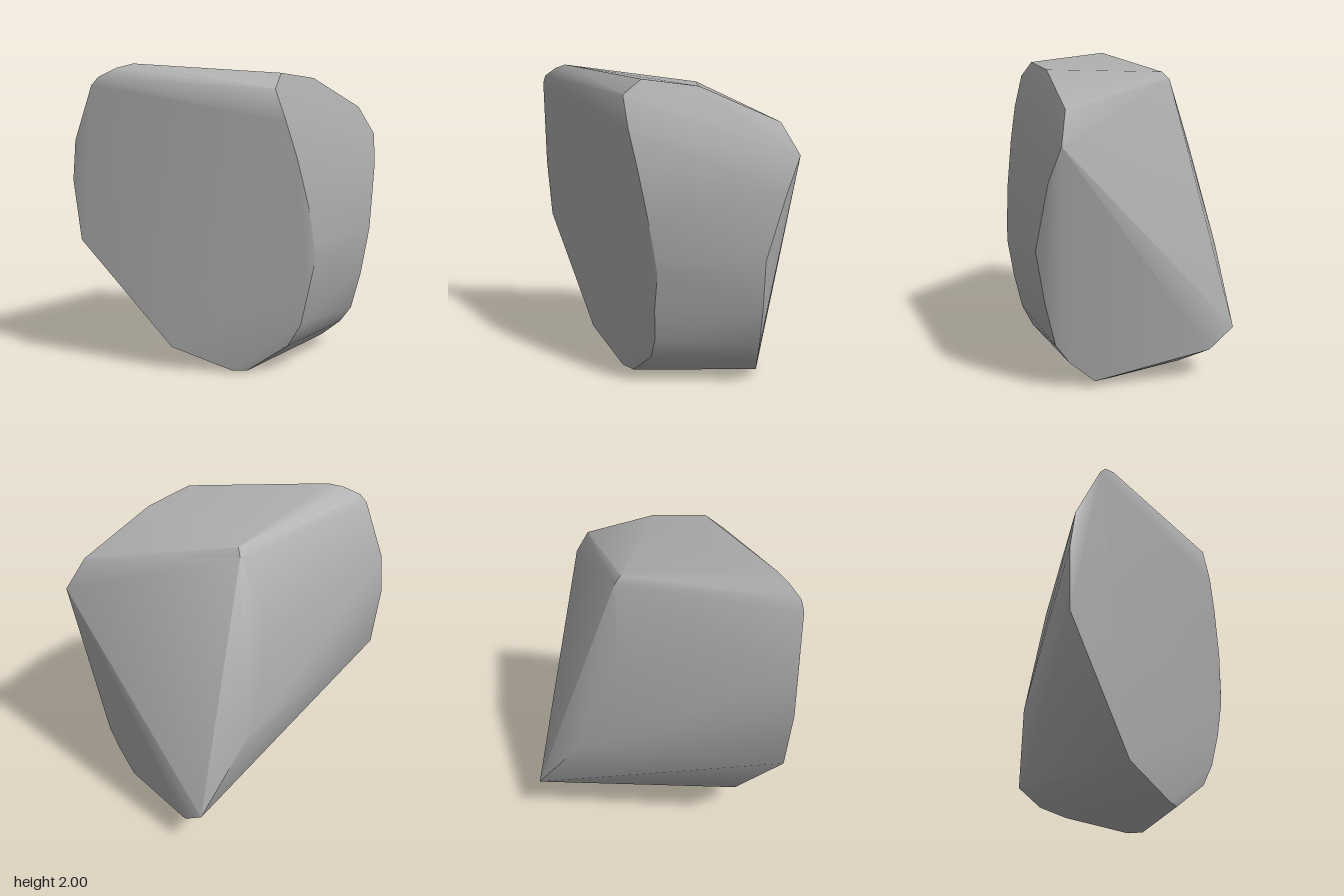
import * as THREE from 'three';
import { ConvexGeometry } from 'three/addons/geometries/ConvexGeometry.js';
import { toCreasedNormals } from 'three/addons/utils/BufferGeometryUtils.js';

const hull = (...rings) => new ConvexGeometry(rings.flat().map((p) => new THREE.Vector3(...p)));

export function createModel() {
  const group = new THREE.Group();
  group.name = 'rock';
  const stone = new THREE.MeshStandardMaterial({ color: 0xaaaaaa });
  stone.name = 'grey stone';

  // Slanted cap and its bevelled rim
  const top = [
    [-0.65, 2.0, -0.32], [-0.72, 1.975, -0.39], [-0.8, 1.92, -0.47], [-0.82, 1.87, -0.51],
    [0.24, 1.885, -0.32], [0.27, 1.84, -0.36],
    [-0.15, 1.945, 0.42], [-0.26, 1.855, 0.45], [0.19, 1.905, 0.45], [0.67, 1.7, 0.53],
  ];
  // Rounded front, left edge then right edge
  const frontLeft = [
    [-0.23, 1.66, 0.51], [-0.18, 1.44, 0.56], [-0.12, 1.14, 0.61], [-0.07, 0.89, 0.635],
    [-0.065, 0.8, 0.635], [-0.08, 0.56, 0.59], [-0.075, 0.35, 0.54], [-0.1, 0.2, 0.46],
  ];
  const frontRight = [
    [0.78, 1.51, 0.6], [0.7, 1.3, 0.65], [0.58, 0.89, 0.685],
    [0.58, 0.56, 0.63], [0.575, 0.3, 0.565], [0.58, 0.18, 0.48],
  ];
  // Bulging back, with the pointed lower right corner
  const back = [
    [-0.825, 1.53, -0.66], [-0.83, 1.28, -0.687], [-0.8, 0.89, -0.665],
    [0.22, 1.4, -0.545], [0.48, 0.78, -0.6], [0.82, 0.33, -0.525],
  ];
  // Curved underside
  const base = [
    [0.8, 0.2, -0.37], [0.69, 0.115, -0.21], [0.6, 0.04, 0.32], [0.52, 0.005, 0.18],
    [0.2, 0, 0.15], [-0.21, 0.01, 0.22], [-0.28, 0.015, 0.146], [-0.49, 0.17, -0.19],
  ];

  const geometry = toCreasedNormals(hull(top, frontLeft, frontRight, back, base), THREE.MathUtils.degToRad(38));
  const body = new THREE.Mesh(geometry, stone);
  body.name = 'boulder';
  group.add(body);
  return group;
}
